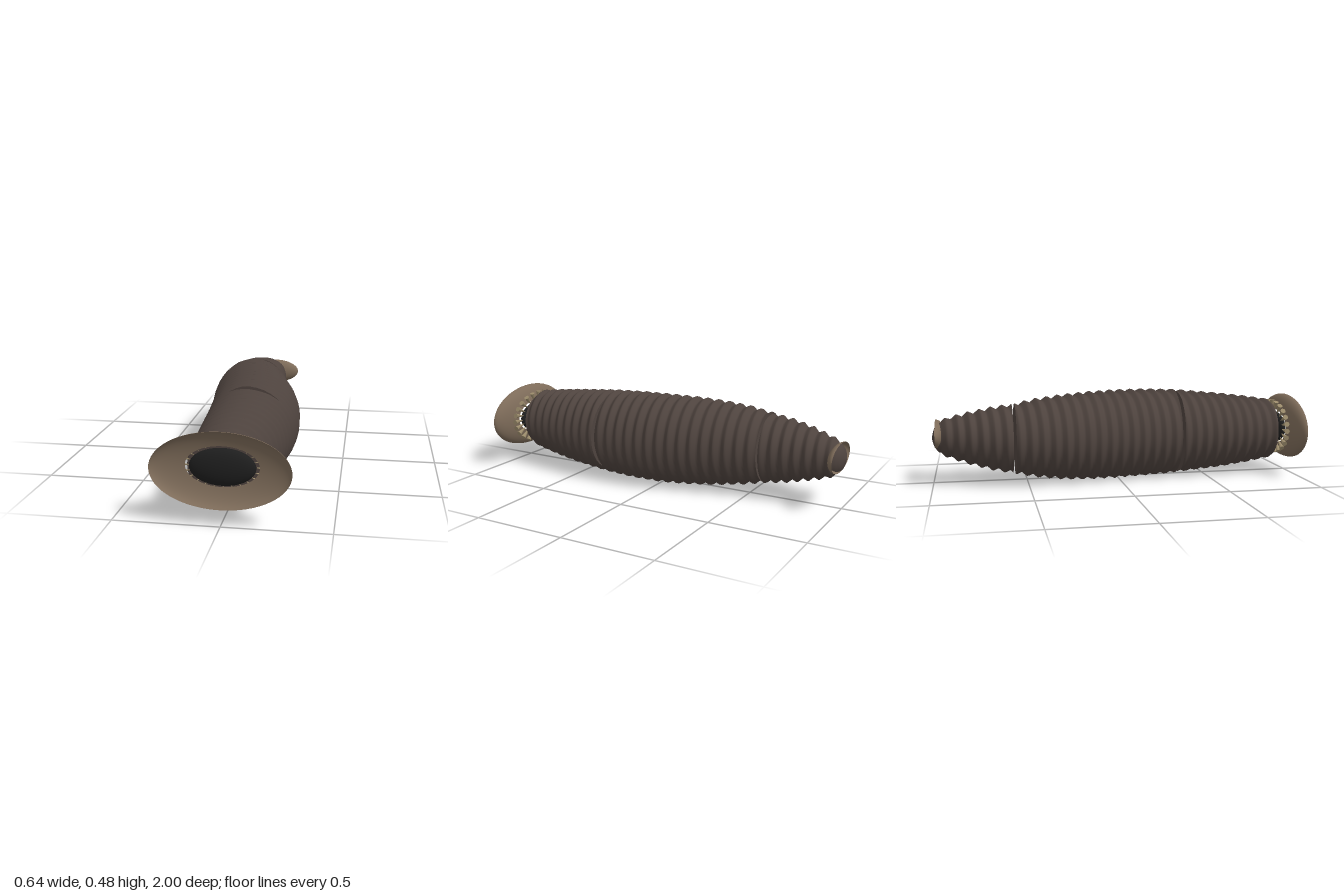
import * as THREE from 'three';

const mat = (name, color, side = THREE.FrontSide) => {
  const m = new THREE.MeshStandardMaterial({ color, side });
  m.name = name;
  return m;
};

// Stations along the body: z, centre x, centre y, radius
const STATIONS = [
  [0.90, 0.0, 0.245, 0.16], [0.75, 0.01, 0.242, 0.185], [0.6, 0.02, 0.24, 0.205],
  [0.34, 0.03, 0.24, 0.229], [0.17, 0.024, 0.238, 0.238], [0, 0.008, 0.236, 0.24],
  [-0.15, -0.018, 0.236, 0.236], [-0.3, -0.046, 0.237, 0.225], [-0.45, -0.065, 0.239, 0.206],
  [-0.57, -0.074, 0.24, 0.182], [-0.7, -0.066, 0.243, 0.16], [-0.8, -0.055, 0.246, 0.136],
  [-0.9, -0.037, 0.249, 0.108], [-0.94, -0.031, 0.25, 0.094], [-0.965, -0.031, 0.25, 0.078],
  [-0.985, -0.033, 0.25, 0.054], [-0.995, -0.035, 0.25, 0.03], [-1, -0.036, 0.25, 0.004],
];

function sample(z) {
  let i = 0;
  while (i < STATIONS.length - 2 && z < STATIONS[i + 1][0]) i++;
  const a = STATIONS[i], b = STATIONS[i + 1];
  const t = THREE.MathUtils.clamp((z - a[0]) / (b[0] - a[0]), 0, 1);
  return a.map((v, k) => v + (b[k] - v) * t);
}

// One ringed body section between two z values, closed at both ends
function bodySection(z0, z1) {
  const sides = 40, period = 0.06, tilt = 0.12, amp = 0.02;
  const rings = Math.round((z0 - z1) / 0.0075);
  const pos = [], idx = [];
  for (let i = 0; i <= rings; i++) {
    const z = z0 + (z1 - z0) * i / rings;
    const [, cx, cy, r] = sample(z);
    for (let j = 0; j < sides; j++) {
      const a = j / sides * Math.PI * 2;
      // Ridges run slightly oblique across the body
      const phase = (z + tilt * r * Math.cos(a)) / period;
      const f = phase - Math.floor(phase);
      const ridge = amp * (1 - Math.abs(2 * f - 1) - 0.5) * Math.min(1, r / 0.12);
      const R = z < -0.96 ? r : r + ridge;
      // The belly rests flat on the ground
      pos.push(cx + R * Math.cos(a), Math.max(0, cy + R * Math.sin(a)), z);
    }
  }
  for (let i = 0; i < rings; i++) {
    for (let j = 0; j < sides; j++) {
      const a = i * sides + j, b = i * sides + (j + 1) % sides;
      idx.push(a, a + sides, b, b, a + sides, b + sides);
    }
  }
  // End caps with their own rims so the edge stays sharp
  for (const [ring, z, front] of [[0, z0, true], [rings, z1, false]]) {
    const [, cx, cy] = sample(z);
    const base = pos.length / 3;
    for (let j = 0; j < sides; j++) {
      const k = (ring * sides + j) * 3;
      pos.push(pos[k], pos[k + 1], pos[k + 2]);
    }
    pos.push(cx, cy, z);
    for (let j = 0; j < sides; j++) {
      const a = base + j, b = base + (j + 1) % sides, c = base + sides;
      if (front) idx.push(c, a, b);
      else idx.push(c, b, a);
    }
  }
  const g = new THREE.BufferGeometry();
  g.setAttribute('position', new THREE.Float32BufferAttribute(pos, 3));
  g.setIndex(idx);
  g.computeVertexNormals();
  return g;
}

// Elliptical bowl opening towards +z, its rim at z = 0
function bowl(rx, ry, depth, hole) {
  const pts = [];
  const end = Math.acos(hole);
  for (let i = 0; i <= 14; i++) {
    const a = end * (1 - i / 14);
    pts.push(new THREE.Vector2(Math.cos(a), -Math.sin(a)));
  }
  const g = new THREE.LatheGeometry(pts, 64);
  g.rotateX(Math.PI / 2);
  g.scale(rx, ry, depth);
  return g;
}

export function createModel() {
  const model = new THREE.Group();
  const skin = mat('darkBrownSkin', 0x4e433e);
  const sucker = mat('tanSucker', 0x7d6b59, THREE.DoubleSide);
  const tooth = mat('paleTooth', 0x9c8c6c);
  const black = mat('mouthBlack', 0x1e1e1e);

  const add = (name, geometry, material, x = 0, y = 0, z = 0) => {
    const m = new THREE.Mesh(geometry, material);
    m.name = name;
    m.position.set(x, y, z);
    model.add(m);
    return m;
  };

  // Body in three sections with narrow gaps
  add('frontBody', bodySection(0.895, 0.348), skin);
  add('middleBody', bodySection(0.334, -0.566), skin);
  add('rearBody', bodySection(-0.58, -1), skin);

  // Front sucker with the mouth inside
  add('frontSucker', bowl(0.318, 0.18, 0.075, 0.53), sucker, 0, 0.26, 1);
  const mouth = new THREE.SphereGeometry(1, 40, 24);
  mouth.scale(0.152, 0.088, 0.04);
  add('mouth', mouth, black, 0, 0.257, 0.93);

  // Ring of teeth, tips pointing inwards
  const teeth = new THREE.Group();
  teeth.name = 'teeth';
  const cone = new THREE.ConeGeometry(0.015, 0.075, 8);
  const up = new THREE.Vector3(0, 1, 0);
  for (let i = 0; i < 24; i++) {
    const a = i / 24 * Math.PI * 2;
    const inner = new THREE.Vector3(0.146 * Math.cos(a), 0.09 * Math.sin(a), 0);
    const outer = new THREE.Vector3(0.225 * Math.cos(a), 0.15 * Math.sin(a), 0);
    const m = new THREE.Mesh(cone, tooth);
    m.name = 'tooth';
    m.position.addVectors(inner, outer).multiplyScalar(0.5);
    m.scale.y = inner.distanceTo(outer) / 0.075;
    m.quaternion.setFromUnitVectors(up, inner.clone().sub(outer).normalize());
    teeth.add(m);
  }
  teeth.position.set(0, 0.257, 0.92);
  model.add(teeth);

  // Rear sucker, opening backwards around the tail tip
  const rear = add('rearSucker', bowl(0.15, 0.075, 0.05, 0.05), sucker, 0, 0.265, -0.982);
  rear.rotation.y = Math.PI;

  return model;
}
